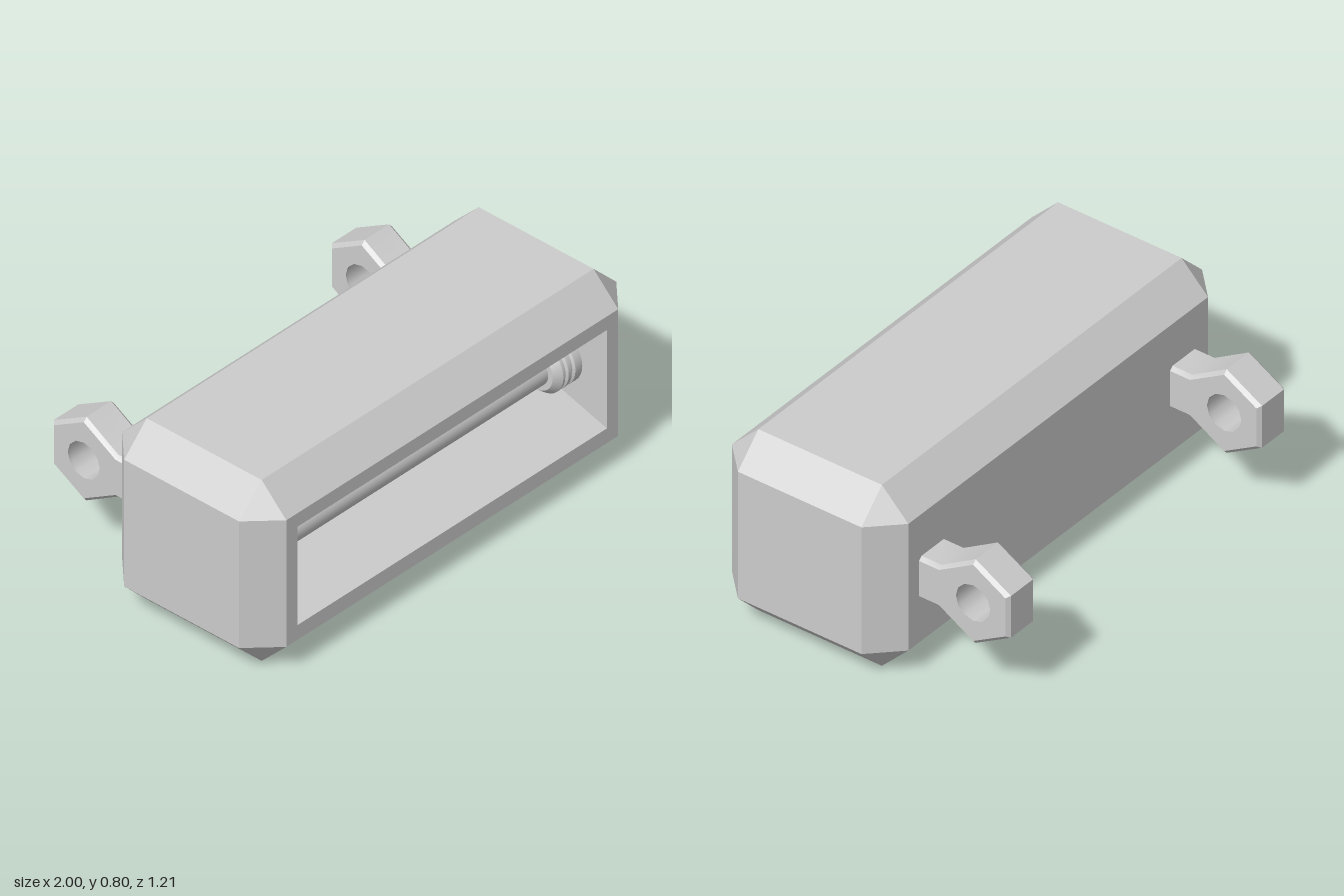
import * as THREE from 'three';
import { toCreasedNormals } from 'three/addons/utils/BufferGeometryUtils.js';

const grey = new THREE.MeshStandardMaterial({ color: 0xcccccc });
const MID = 0.4;

function part(name, geometry, parent) {
  const mesh = new THREE.Mesh(geometry, grey);
  mesh.name = name;
  parent.add(mesh);
  return mesh;
}

// Eight-point ring at depth z: half sizes w, h with corners cut by c
function ring(z, w, h, c = 0, y = MID) {
  return [
    [w, h - c], [w - c, h], [c - w, h], [-w, h - c],
    [-w, c - h], [c - w, -h], [w - c, -h], [w, c - h],
  ].map(([px, py]) => new THREE.Vector3(px, y + py, z));
}

// Skin consecutive rings with flat faces, dropping collapsed triangles
function loft(rings) {
  const pos = [];
  const tri = (a, b, c) => {
    if (a.equals(b) || b.equals(c) || c.equals(a)) return;
    for (const p of [a, b, c]) pos.push(p.x, p.y, p.z);
  };
  for (let k = 0; k < rings.length - 1; k++) {
    const lo = rings[k], hi = rings[k + 1];
    for (let i = 0; i < lo.length; i++) {
      const j = (i + 1) % lo.length;
      tri(lo[i], lo[j], hi[j]);
      tri(lo[i], hi[j], hi[i]);
    }
  }
  const geo = new THREE.BufferGeometry();
  geo.setAttribute('position', new THREE.Float32BufferAttribute(pos, 3));
  geo.computeVertexNormals();
  return geo;
}

// Hexagonal eye with a neck and a round hole, bevelled on both sides
function eyeGeometry() {
  const upper = [[-0.26, 0.0925], [-0.155, 0.0925], [0, 0.185], [0.16, 0.0925]];
  const lower = upper.map(([u, v]) => [u, -v]);
  const outline = [...lower, ...upper.reverse()].map(([u, v]) => new THREE.Vector2(u, v));
  const shape = new THREE.Shape(outline);
  const hole = [];
  for (let i = 0; i < 12; i++) {
    const a = -i * Math.PI / 6;
    hole.push(new THREE.Vector2(0.078 * Math.cos(a), 0.078 * Math.sin(a)));
  }
  shape.holes.push(new THREE.Path(hole));
  const geo = new THREE.ExtrudeGeometry(shape, { depth: 3, steps: 3, bevelEnabled: false });
  const layers = [-0.08, -0.065, 0.065, 0.08];
  const p = geo.attributes.position;
  for (let i = 0; i < p.count; i++) {
    const layer = Math.round(p.getZ(i));
    const u = p.getX(i), v = p.getY(i);
    p.setZ(i, layers[layer]);
    // Pull the outer edge in on the two side faces
    if ((layer === 0 || layer === 3) && Math.hypot(u, v) > 0.1) {
      if (u < -0.1) p.setY(i, v * 0.84);
      else p.setXY(i, u * 0.91, v * 0.91);
    }
  }
  geo.rotateY(Math.PI / 2);
  return toCreasedNormals(geo, 0.6);
}

export function createModel() {
  const model = new THREE.Group();
  model.name = 'lampHousing';

  // Chamfered housing with a tapering recess in the front
  const y = 0.4025;
  part('housing', loft([
    ring(-0.2, 0, 0),
    ring(-0.2, 0.88, 0.28),
    ring(-0.08, 1, 0.4, 0.12),
    ring(0.48, 1, 0.4, 0.12),
    ring(0.6, 0.88, 0.28),
    ring(0.6, 0.82, 0.2175, 0, y),
    ring(0.25, 0.82, 0.1125, 0, y),
    ring(0.25, 0, 0, 0, y),
  ]), model);

  // Light tube across the recess
  const lamp = new THREE.Group();
  lamp.name = 'lamp';
  lamp.position.set(0, y, 0.37);
  model.add(lamp);
  const tube = part('lightTube', new THREE.CylinderGeometry(0.063, 0.063, 1.5, 32, 1, true), lamp);
  tube.rotation.z = Math.PI / 2;

  // Grooved end caps
  const profile = [
    [0.11, 0], [0.11, 0.036], [0.1, 0.042], [0.1, 0.05], [0.11, 0.055],
    [0.11, 0.072], [0.1, 0.078], [0.1, 0.084], [0.11, 0.09], [0.11, 0.1],
    [0.085, 0.13], [0.055, 0.13],
  ].map(([r, h]) => new THREE.Vector2(r, h));
  const cap = toCreasedNormals(new THREE.LatheGeometry(profile, 32), 0.5);

  const eye = eyeGeometry();
  for (const [side, s] of [['left', 1], ['right', -1]]) {
    const end = part(side + 'TubeCap', cap, lamp);
    end.position.x = 0.82 * s;
    end.rotation.z = s * Math.PI / 2;

    // Mounting eyes on the back
    part(side + 'MountingEye', eye, model).position.set(0.737 * s, MID + 0.0025, -0.445);
  }
  return model;
}
